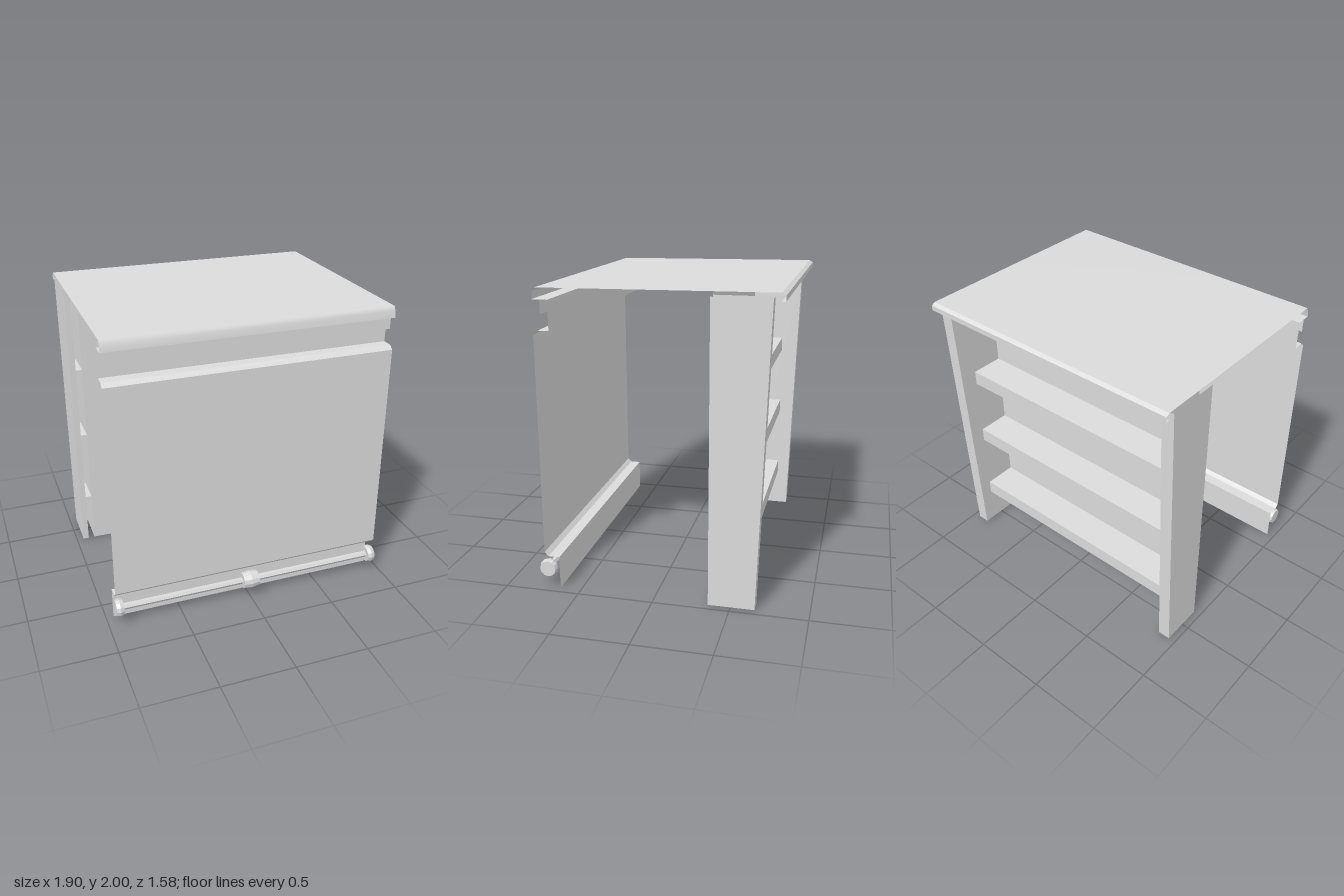
import * as THREE from 'three';

const W = 0.95; // half width of the counter
const FRONT = -0.355; // front plane of the back frame
const INNER = 0.865; // inner wall of the posts

export function createModel() {
  const group = new THREE.Group();
  group.name = 'counter';
  const grey = new THREE.MeshStandardMaterial({ color: 0xdbdbdb, side: THREE.DoubleSide });
  grey.name = 'light grey';

  const add = (name, geometry, x = 0, y = 0, z = 0) => {
    const mesh = new THREE.Mesh(geometry, grey);
    mesh.name = name;
    mesh.position.set(x, y, z);
    group.add(mesh);
    return mesh;
  };

  const flat = (geometry) => {
    const result = geometry.toNonIndexed();
    result.computeVertexNormals();
    return result;
  };

  // Thin folded surface between two matching rows of points
  const strip = (rowA, rowB) => {
    const positions = [], index = [];
    rowA.forEach((point, i) => {
      positions.push(...point, ...rowB[i]);
      if (i < rowA.length - 1) {
        const a = i * 2;
        index.push(a, a + 2, a + 1, a + 1, a + 2, a + 3);
      }
    });
    const geometry = new THREE.BufferGeometry();
    geometry.setAttribute('position', new THREE.Float32BufferAttribute(positions, 3));
    geometry.setIndex(index);
    geometry.computeVertexNormals();
    return geometry;
  };

  // Bent sheet: a [z, y] profile swept across x
  const sheet = (profile, half = W) => strip(
    profile.map(([z, y]) => [-half, y, z]),
    profile.map(([z, y]) => [half, y, z]),
  );

  // Worktop with a softly rolled front nose, and its folded back lip
  add('worktop', sheet([[-0.765, 2], [0.72, 1.987], [0.735, 1.96], [0.741, 1.915]]));
  add('worktopBackLip', flat(sheet([[-0.765, 1.95], [-0.79, 1.95], [-0.79, 1.985], [-0.765, 2]])));

  // Front: recess under the nose, chamfered main panel and set-back plinth
  add('frontPanel', flat(sheet([
    [0.741, 1.915], [0.64, 1.915], [0.64, 1.725], [0.712, 1.725],
    [0.741, 1.70], [0.741, 0.25], [0.715, 0.223], [0.64, 0.223], [0.64, 0],
  ])));
  add('hangingStrip', flat(sheet([[0.69, 1.915], [0.69, 1.825]])));

  // Inner back panel
  add('backPanel', flat(sheet([[FRONT, 1.99], [FRONT, 0]], INNER)));

  // Open channel posts, deeper at the top, with a narrow front flange
  const postSection = (y, back) => [
    [0.91, y, FRONT], [W, y, FRONT], [W, y, back], [INNER, y, back], [INNER, y, FRONT],
  ];
  const post = flat(strip(postSection(0, -0.655), postSection(1.965, -0.72)));
  add('leftPost', post);
  add('rightPost', post).scale.x = -1;

  // Shelves: a thin plate with a turned-down edge
  for (const y of [0.365, 0.885, 1.395]) {
    add('shelf', flat(sheet([[-0.58, y - 0.1], [-0.58, y], [FRONT, y]])));
  }

  // Foot rail with end collars and a middle collar
  const rail = new THREE.CylinderGeometry(0.022, 0.022, 1.86, 6);
  rail.rotateZ(Math.PI / 2);
  add('footRail', flat(rail), 0, 0.13, 0.725);

  const collar = (width) => {
    const h = width / 2;
    const points = [[0, -h], [0.054, -h], [0.0615, 0], [0.054, h], [0, h]];
    const geometry = new THREE.LatheGeometry(points.map(([r, y]) => new THREE.Vector2(r, y)), 12);
    geometry.rotateZ(Math.PI / 2);
    return flat(geometry);
  };
  add('middleCollar', collar(0.11), 0, 0.13, 0.725);
  for (const s of [-1, 1]) add('endCollar', collar(0.05), s * 0.925, 0.13, 0.725);

  return group;
}
